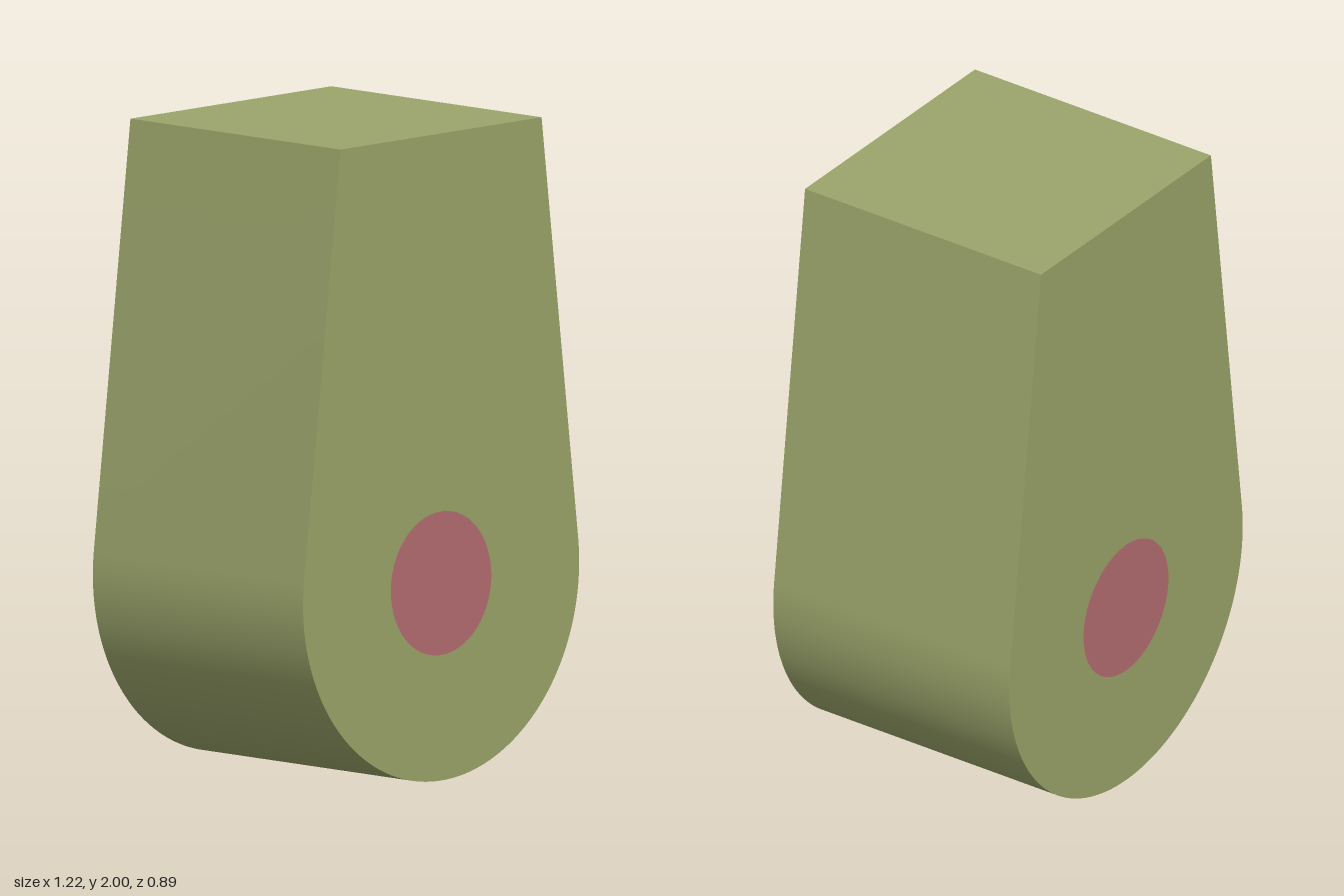
import * as THREE from 'three';
import { toCreasedNormals } from 'three/addons/utils/BufferGeometryUtils.js';

const HEIGHT = 2, DEPTH = 0.888, TOP_HALF = 0.444;
const RADIUS = 0.61, PIN_RADIUS = 0.222, SEGMENTS = 96;

export function createModel() {
  const olive = new THREE.MeshStandardMaterial({ name: 'olive green', color: 0x9ba56b });
  const rose = new THREE.MeshStandardMaterial({ name: 'dusty rose', color: 0xb56d72 });
  const model = new THREE.Group();
  model.name = 'pinnedLug';

  // Angle at which the straight flank touches the round end
  const rise = HEIGHT - RADIUS;
  const tangent = Math.atan2(rise, TOP_HALF) - Math.acos(RADIUS / Math.hypot(rise, TOP_HALF));

  // Tapered body with a round lower end and a bore for the pin
  const outline = new THREE.Shape();
  outline.moveTo(-TOP_HALF, HEIGHT);
  outline.lineTo(TOP_HALF, HEIGHT);
  outline.absarc(0, RADIUS, RADIUS, tangent, Math.PI - tangent, true);
  outline.closePath();
  const bore = new THREE.Path();
  bore.absarc(0, RADIUS, PIN_RADIUS, 0, Math.PI * 2, false);
  outline.holes.push(bore);
  const bodyGeometry = new THREE.ExtrudeGeometry(outline, {
    depth: DEPTH, bevelEnabled: false, curveSegments: SEGMENTS,
  });
  bodyGeometry.translate(0, 0, -DEPTH / 2);
  const body = new THREE.Mesh(toCreasedNormals(bodyGeometry, 0.5), olive);
  body.name = 'body';
  model.add(body);

  // Pin through the bore, flush with both faces
  const pin = new THREE.Mesh(
    new THREE.CylinderGeometry(PIN_RADIUS, PIN_RADIUS, DEPTH, SEGMENTS), rose);
  pin.name = 'pin';
  pin.rotation.x = Math.PI / 2;
  pin.position.y = RADIUS;
  model.add(pin);

  return model;
}
